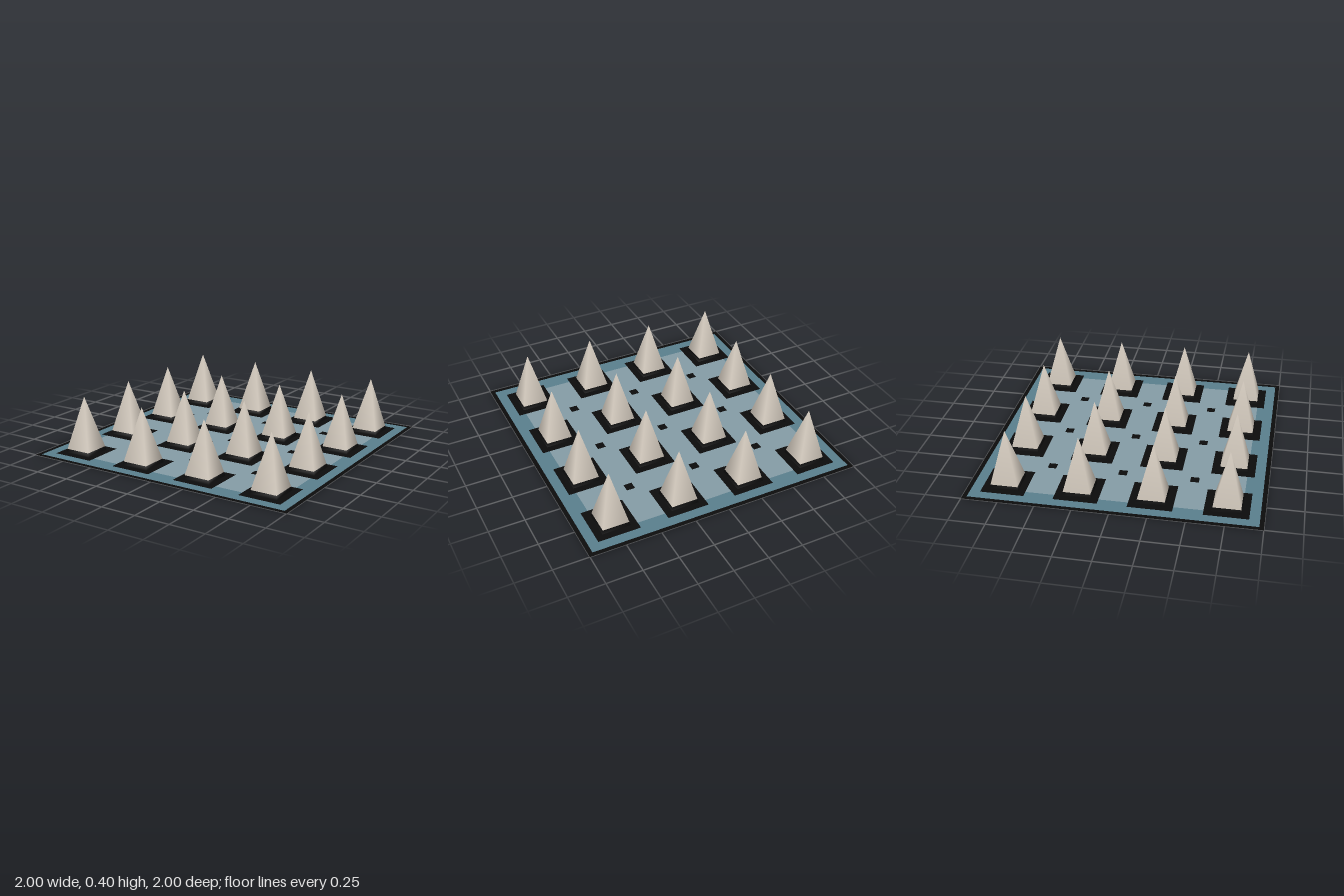
import * as THREE from 'three';
import { mergeGeometries, mergeVertices } from 'three/addons/utils/BufferGeometryUtils.js';

const material = (name, color, side = THREE.FrontSide) => {
  const m = new THREE.MeshStandardMaterial({ color, side });
  m.name = name;
  return m;
};

// Square tapering tube with smoothed normals; a top half-width of 0 makes a point.
function taper(topHalf, bottomHalf, y0, y1) {
  const g = new THREE.CylinderGeometry(
    topHalf * Math.SQRT2, bottomHalf * Math.SQRT2, y1 - y0, 4, 1, true, Math.PI / 4);
  g.translate(0, (y0 + y1) / 2, 0);
  g.deleteAttribute('normal');
  g.deleteAttribute('uv');
  const merged = mergeVertices(g);
  merged.computeVertexNormals();
  return merged;
}

export function createModel() {
  const group = new THREE.Group();
  group.name = 'spikeFloor';

  const mats = {
    black: material('black', 0x0c0c0c, THREE.DoubleSide),
    teal: material('teal', 0x5a7f8d, THREE.DoubleSide),
    greyBlue: material('greyBlue', 0x859ca6, THREE.DoubleSide),
    bone: material('bone', 0xcfc6ba),
  };
  const spikeAt = [-0.75, -0.25, 0.25, 0.75];
  const studAt = [-0.5, 0, 0.5];

  // Flat floor: one sheet cut into cells, each coloured by the pattern it lies in.
  const half = [0.03, 0.1, 0.4, 0.47, 0.53, 0.6, 0.85, 0.9, 0.97, 1];
  const cuts = [...half.map((v) => -v).reverse(), ...half];
  const near = (list, v, r) => list.some((c) => Math.abs(c - v) < r);
  const pattern = (x, z) => {
    const edge = Math.max(Math.abs(x), Math.abs(z));
    if (edge > 0.97) return 'rim';
    if (near(spikeAt, x, 0.15) && near(spikeAt, z, 0.15)) return 'pads';
    if (near(studAt, x, 0.03) && near(studAt, z, 0.03)) return 'studs';
    return edge > 0.85 ? 'outerFloor' : 'innerFloor';
  };
  const cells = { rim: [], pads: [], studs: [], outerFloor: [], innerFloor: [] };
  for (let i = 0; i < cuts.length - 1; i++) {
    for (let j = 0; j < cuts.length - 1; j++) {
      const x = (cuts[i] + cuts[i + 1]) / 2;
      const z = (cuts[j] + cuts[j + 1]) / 2;
      const cell = new THREE.PlaneGeometry(cuts[i + 1] - cuts[i], cuts[j + 1] - cuts[j]);
      cell.rotateX(-Math.PI / 2).translate(x, 0, z);
      cells[pattern(x, z)].push(cell);
    }
  }
  const floorColours = { outerFloor: mats.teal, innerFloor: mats.greyBlue };
  for (const [name, list] of Object.entries(cells)) {
    const mesh = new THREE.Mesh(mergeGeometries(list), floorColours[name] ?? mats.black);
    mesh.name = name;
    group.add(mesh);
  }

  // Four rows of pointed spikes, each with a dark band at its foot.
  const height = 0.4, foot = 0.1, bandTop = 0.026;
  const waist = foot * (1 - bandTop / height);
  const bandGeometry = taper(waist, foot, 0, bandTop);
  const pointGeometry = taper(0, waist, bandTop, height);
  for (const x of spikeAt) {
    for (const z of spikeAt) {
      const spike = new THREE.Group();
      spike.name = 'spike';
      const band = new THREE.Mesh(bandGeometry, mats.black);
      band.name = 'spikeBand';
      const point = new THREE.Mesh(pointGeometry, mats.bone);
      point.name = 'spikePoint';
      spike.add(band, point);
      spike.position.set(x, 0, z);
      group.add(spike);
    }
  }
  return group;
}
